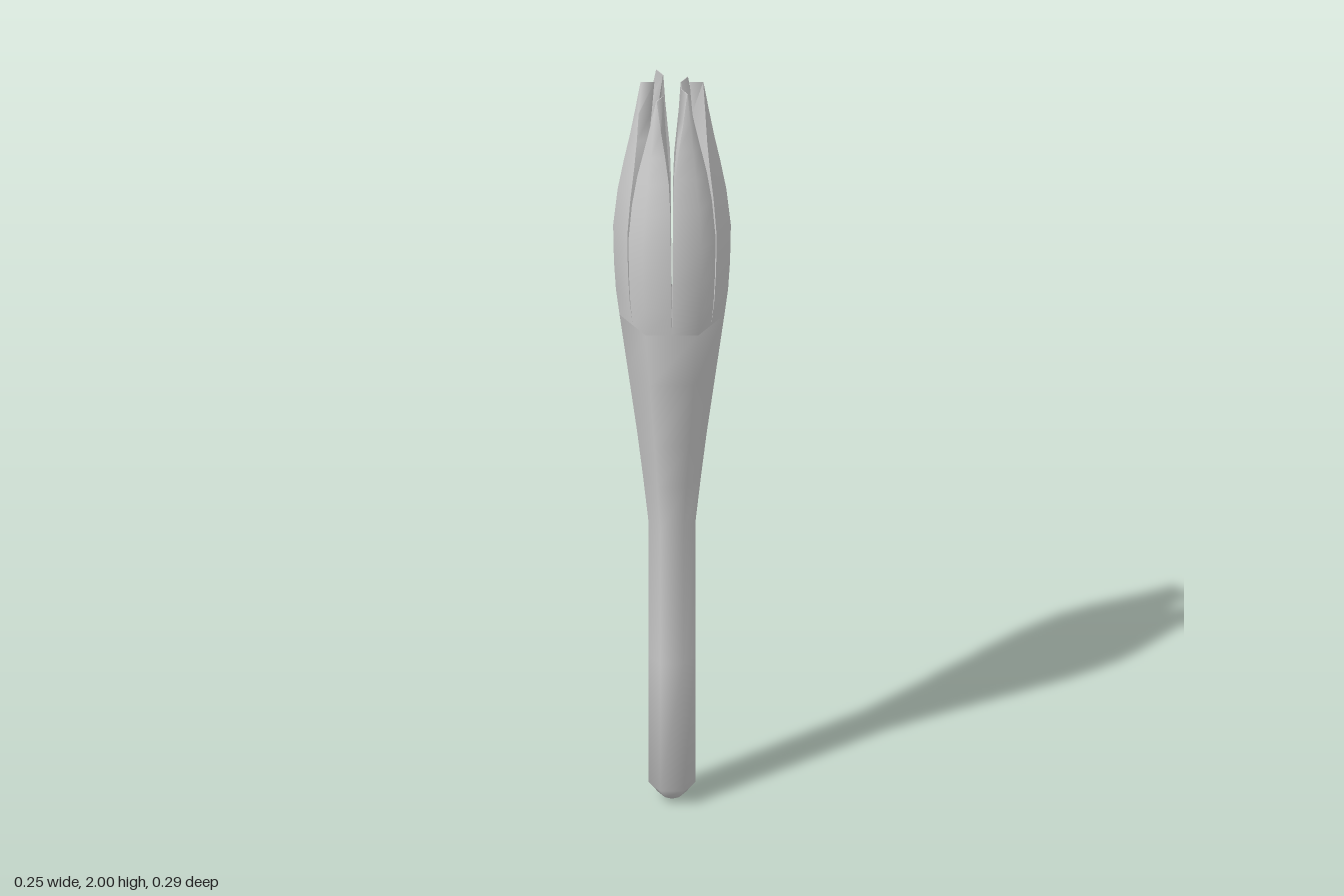
import * as THREE from 'three';
import { toCreasedNormals } from 'three/addons/utils/BufferGeometryUtils.js';

// Joins equal-length closed rings of [x, y, z] points, capping both ends
function loft(rings) {
  const n = rings[0].length;
  const index = [];
  for (let i = 0; i < rings.length - 1; i++) {
    for (let j = 0; j < n; j++) {
      const a = i * n + j, b = i * n + (j + 1) % n;
      index.push(a, b, b + n, a, b + n, a + n);
    }
  }
  const last = (rings.length - 1) * n;
  for (let j = 1; j < n - 1; j++) {
    index.push(0, j + 1, j, last, last + j, last + j + 1);
  }
  const geometry = new THREE.BufferGeometry();
  geometry.setAttribute('position', new THREE.Float32BufferAttribute(rings.flat(2), 3));
  geometry.setIndex(index);
  return toCreasedNormals(geometry, 1.2);
}

// Hexagon with a corner facing the front
function hexRing([r, y]) {
  return Array.from({ length: 6 }, (_, j) => {
    const a = j * Math.PI / 3;
    return [r * Math.sin(a), y, r * Math.cos(a)];
  });
}

// Petal cross-section: one hexagon corner, with w the share of the half sides it covers
function petalRing([y, outer, inner, w]) {
  const side = (r, s) => [s * r * 0.433 * w, y, r * (1 - 0.25 * w)];
  return [
    [0, y, outer], side(outer, 1), side(inner, 1),
    [0, y, inner], side(inner, -1), side(outer, -1),
  ];
}

export function createModel() {
  const group = new THREE.Group();
  const material = new THREE.MeshStandardMaterial({ color: 0xcccccc });

  // Stem flaring into a hollow cup: up the outside, then down the inside
  const profile = [
    [0.004, 0], [0.035, 0.018], [0.058, 0.045], [0.058, 0.4], [0.058, 0.77],
    [0.072, 0.9], [0.086, 1.02], [0.11, 1.2], [0.13, 1.35],
    [0.09, 1.35], [0.075, 1.25], [0.045, 1.1], [0.02, 1.0],
  ];
  const stem = new THREE.Mesh(loft(profile.map(hexRing)), material);
  stem.name = 'stemAndCup';
  group.add(stem);

  // Petal sections: height, outer radius, inner radius, width share
  const sections = [
    [1.35, 0.13, 0.09, 1], [1.42, 0.139, 0.099, 0.975], [1.5, 0.144, 0.104, 0.965],
    [1.6, 0.146, 0.106, 0.96], [1.7, 0.135, 0.096, 0.94], [1.78, 0.12, 0.082, 0.87],
    [1.85, 0.105, 0.069, 0.68], [1.92, 0.092, 0.056, 0.4], [2, 0.078, 0.044, 0.03],
  ];
  for (let k = 0; k < 6; k++) {
    // The front and back petals are slightly shorter
    const top = k % 3 === 0 ? 1.98 : 2;
    const rings = sections.map(([y, ...rest]) =>
      petalRing([1.35 + (y - 1.35) * (top - 1.35) / 0.65, ...rest]));
    const petal = new THREE.Mesh(loft(rings), material);
    petal.name = `petal${k + 1}`;
    petal.rotation.y = k * Math.PI / 3;
    group.add(petal);
  }
  return group;
}
